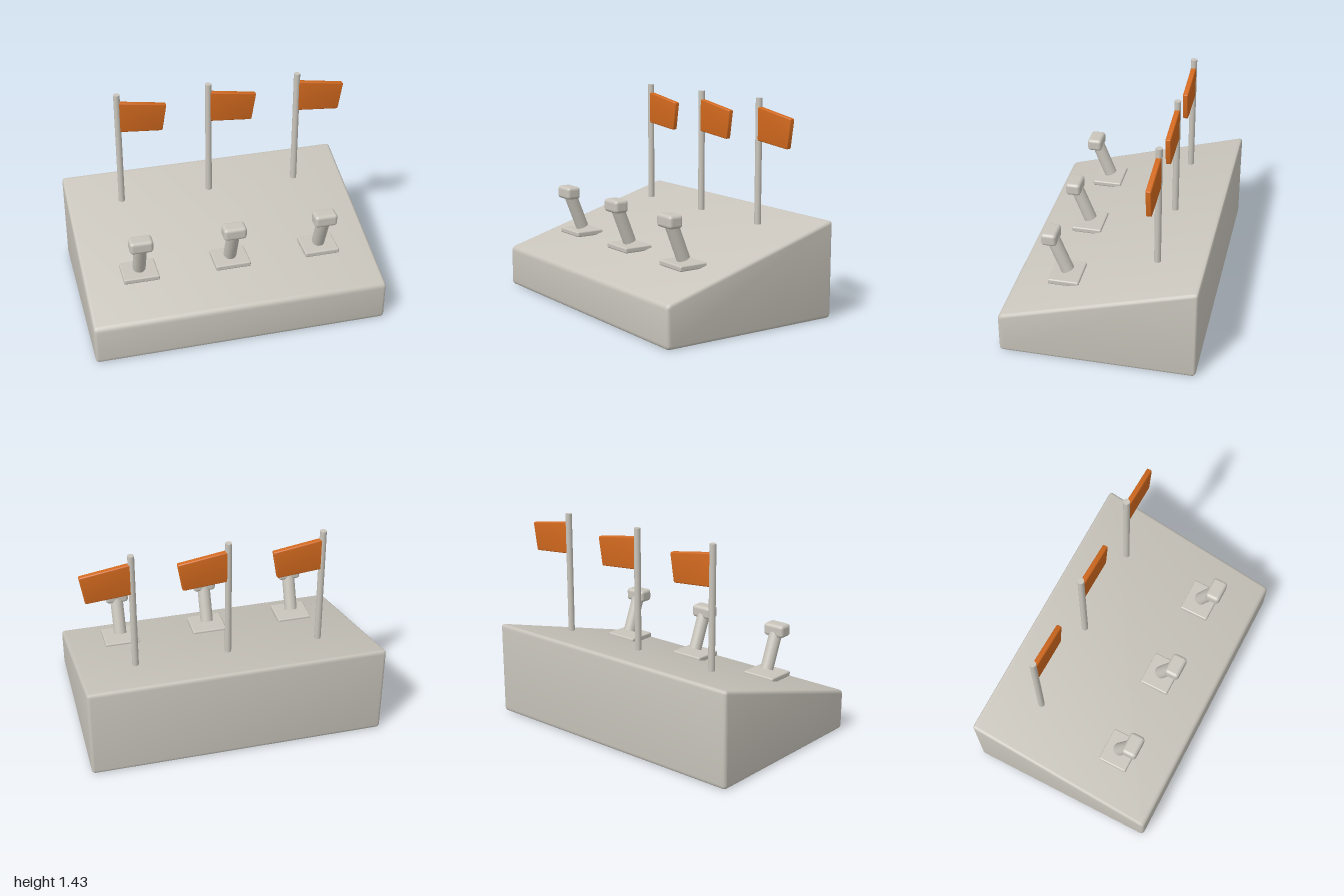
import * as THREE from 'three';
import { toCreasedNormals } from 'three/addons/utils/BufferGeometryUtils.js';
import { RoundedBoxGeometry } from 'three/addons/geometries/RoundedBoxGeometry.js';

// Closed polygon with rounded corners
function roundedPolygon(points, radius) {
  const p = points.map(([x, y]) => new THREE.Vector2(x, y));
  const shape = new THREE.Shape();
  p.forEach((corner, i) => {
    const prev = p[(i + p.length - 1) % p.length];
    const next = p[(i + 1) % p.length];
    const a = prev.clone().sub(corner).setLength(radius).add(corner);
    const b = next.clone().sub(corner).setLength(radius).add(corner);
    if (i === 0) shape.moveTo(a.x, a.y);
    else shape.lineTo(a.x, a.y);
    shape.quadraticCurveTo(corner.x, corner.y, b.x, b.y);
  });
  shape.closePath();
  return shape;
}

// Slab of the given full depth, centred on z = 0, with rounded rims
function bevelledSlab(points, depth, radius, bevel) {
  const geometry = new THREE.ExtrudeGeometry(roundedPolygon(points, radius), {
    depth: depth - 2 * bevel,
    bevelThickness: bevel,
    bevelSize: bevel,
    bevelOffset: -bevel,
    bevelSegments: 3,
    curveSegments: 4,
  });
  geometry.translate(0, 0, -depth / 2 + bevel);
  return toCreasedNormals(geometry, 0.6);
}

export function createModel() {
  const grey = new THREE.MeshStandardMaterial({ color: 0xc9c5bc });
  grey.name = 'warm grey';
  const orange = new THREE.MeshStandardMaterial({ color: 0xd2691e });
  orange.name = 'orange';

  const model = new THREE.Group();
  model.name = 'flagLeverConsole';

  const add = (parent, name, geometry, material, x, y, z) => {
    const mesh = new THREE.Mesh(geometry, material);
    mesh.name = name;
    mesh.position.set(x, y, z);
    parent.add(mesh);
    return mesh;
  };

  // Sloped console: side profile (x = -z of the model) extruded across the width
  const consoleGeometry = bevelledSlab(
    [[-0.65, 0], [0.65, 0], [0.65, 0.653], [-0.65, 0.277]], 1.995, 0.03, 0.022);
  consoleGeometry.rotateY(Math.PI / 2);
  add(model, 'console', consoleGeometry, grey, 0, 0, 0);

  // Shared lever and flag geometries
  const plate = new RoundedBoxGeometry(0.24, 0.037, 0.206, 2, 0.01);
  const stem = new THREE.CylinderGeometry(0.044, 0.044, 0.27, 24);
  const knob = new RoundedBoxGeometry(0.156, 0.087, 0.103, 3, 0.023);
  const mast = new THREE.CylinderGeometry(0.022, 0.022, 0.83, 20);
  const flag = bevelledSlab(
    [[0.003, 1.155], [0.302, 1.129], [0.334, 1.325], [0.003, 1.376]], 0.036, 0.012, 0.008);
  const tilt = 0.38;

  for (const x of [-0.625, 0, 0.625]) {
    // Lever leaning towards the front
    const lever = new THREE.Group();
    lever.name = 'lever';
    lever.position.x = x;
    model.add(lever);
    add(lever, 'leverPlate', plate, grey, 0, 0.414, 0.274);
    add(lever, 'leverStem', stem, grey,
      0, 0.448 + 0.135 * Math.cos(tilt), 0.272 + 0.135 * Math.sin(tilt)).rotation.x = tilt;
    add(lever, 'leverKnob', knob, grey, 0, 0.703, 0.376);

    // Mast with its flag
    const signal = new THREE.Group();
    signal.name = 'flagSignal';
    signal.position.set(x, 0, -0.325);
    model.add(signal);
    add(signal, 'mast', mast, grey, 0, 1.017, 0);
    add(signal, 'flag', flag, orange, 0, 0, 0);
  }
  return model;
}
